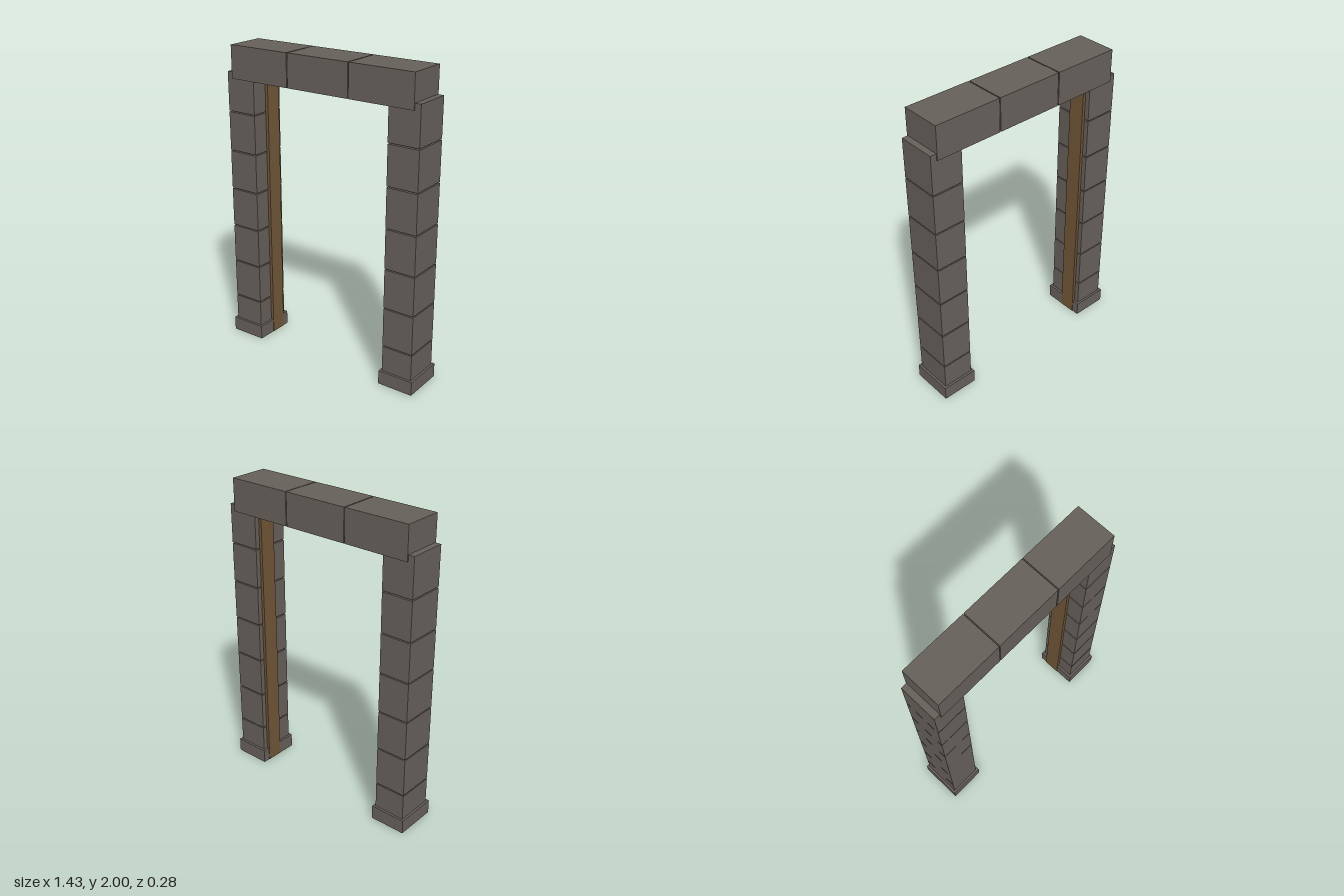
import * as THREE from 'three';

export function createModel() {
  const stone = new THREE.MeshStandardMaterial({ color: 0x665f5a });
  stone.name = 'stone';
  const wood = new THREE.MeshStandardMaterial({ color: 0x6f5537 });
  wood.name = 'wood';

  // Box given by its low and high limits on each axis
  function addBox(parent, name, material, [x0, x1], [y0, y1], [z0, z1]) {
    const mesh = new THREE.Mesh(new THREE.BoxGeometry(x1 - x0, y1 - y0, z1 - z0), material);
    mesh.position.set((x0 + x1) / 2, (y0 + y1) / 2, (z0 + z1) / 2);
    mesh.name = name;
    parent.add(mesh);
  }

  const model = new THREE.Group();
  model.name = 'stoneGateway';

  // Mirrored pillars: plinth, stacked blocks and a wooden jamb on the inner face
  for (const side of [-1, 1]) {
    const pillar = new THREE.Group();
    pillar.name = side > 0 ? 'leftPillar' : 'rightPillar';
    const span = (inner, outer) => (side > 0 ? [inner, outer] : [-outer, -inner]);

    addBox(pillar, 'plinth', stone, span(0.477, 0.717), [0, 0.092], [-0.14, 0.14]);
    for (let i = 0; i < 7; i++) {
      const y = 0.01 + i * 0.2608;
      addBox(pillar, 'pillarBlock', stone, span(0.493, 0.702), [y, y + 0.253], [-0.125, 0.125]);
    }
    addBox(pillar, 'doorJamb', wood, span(0.473, 0.495), [0.002, 1.763], [-0.093, 0.015]);
    model.add(pillar);
  }

  // Lintel of three blocks with narrow joints
  const lintel = new THREE.Group();
  lintel.name = 'lintel';
  for (let i = -1; i <= 1; i++) {
    const x = i * 0.4435;
    addBox(lintel, 'lintelBlock', stone, [x - 0.2185, x + 0.2185], [1.787, 2], [-0.132, 0.132]);
  }
  model.add(lintel);

  return model;
}
